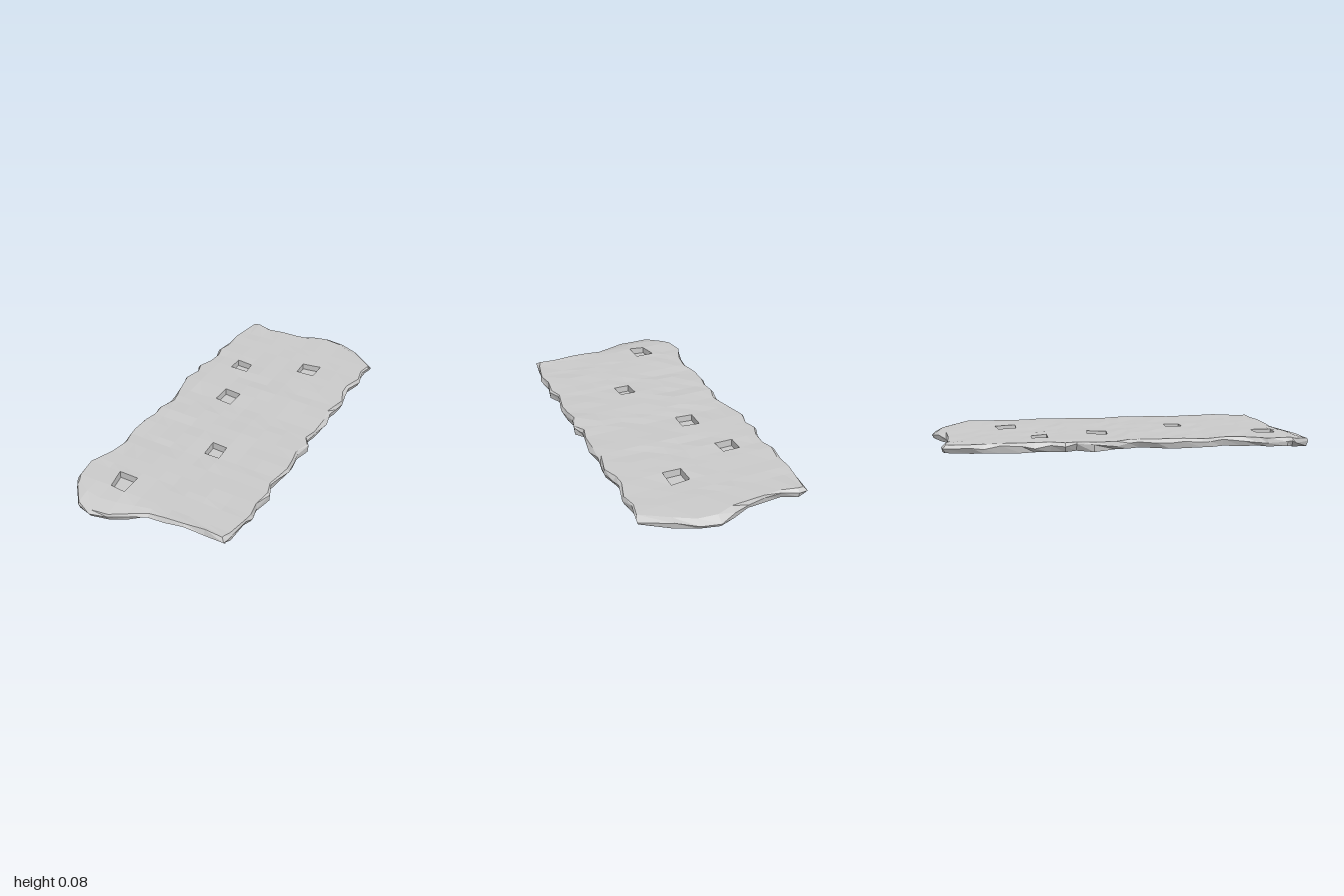
import * as THREE from 'three';

// Piecewise-linear lookup through [key, value] points
const lookup = (pts, k) => {
  if (k <= pts[0][0]) return pts[0][1];
  for (let i = 1; i < pts.length; i++) {
    const [a, va] = pts[i - 1], [b, vb] = pts[i];
    if (k <= b) return va + (vb - va) * (k - a) / (b - a);
  }
  return pts[pts.length - 1][1];
};
// Repeatable value in 0..1 for a grid point
const hash = (i, j, s) => {
  const v = Math.sin(i * 127.1 + j * 311.7 + s * 74.7) * 43758.5453;
  return v - Math.floor(v);
};

// Ragged outline: long sides as x over z, short ends as z over x
const leftX = [[-0.93, -0.39], [-0.83, -0.395], [-0.73, -0.415], [-0.65, -0.405], [-0.57, -0.43], [-0.49, -0.41],
  [-0.4, -0.41], [-0.33, -0.44], [-0.27, -0.41], [-0.18, -0.44], [-0.07, -0.41], [0.05, -0.39], [0.14, -0.415],
  [0.21, -0.405], [0.33, -0.43], [0.49, -0.4], [0.59, -0.42], [0.75, -0.47], [0.83, -0.45], [0.88, -0.42]];
const rightX = [[-0.82, 0.46], [-0.73, 0.44], [-0.64, 0.46], [-0.53, 0.43], [-0.39, 0.46], [-0.28, 0.44], [-0.19, 0.46],
  [0, 0.43], [0.05, 0.46], [0.14, 0.44], [0.28, 0.46], [0.42, 0.43], [0.49, 0.46], [0.59, 0.44], [0.67, 0.46],
  [0.75, 0.435], [0.88, 0.425]];
const frontZ = [[-0.42, 0.88], [-0.36, 0.97], [-0.26, 1], [-0.18, 0.985], [0, 0.9], [0.18, 0.89], [0.29, 0.87], [0.42, 0.885]];
const backZ = [[-0.39, -0.93], [-0.32, -0.94], [-0.24, -0.9], [-0.07, -0.92], [0.1, -1], [0.2, -0.985], [0.3, -0.93], [0.42, -0.87], [0.46, -0.83]];
// Heights along the drooping front end
const frontTop = [[-0.44, 0.066], [-0.34, 0.05], [-0.26, 0.042], [-0.16, 0.047], [0, 0.062], [0.15, 0.076]];
const frontLow = [[-0.44, 0.02], [-0.34, 0.007], [-0.17, 0], [0, 0.03], [0.2, 0.025], [0.3, 0.012], [0.42, 0.025]];

const cols = [null, -0.34, -0.26, -0.165, -0.075, 0.015, 0.105, 0.205, 0.31, null];
const rows = [null, -0.79, -0.73, -0.65, -0.545, -0.48, -0.4, -0.33, -0.27, -0.185, -0.07, 0, 0.05, 0.14, 0.21,
  0.28, 0.375, 0.42, 0.49, 0.59, 0.67, 0.71, 0.82, null, null];
const lastI = rows.length - 1, lastJ = cols.length - 1;

// Each pit fills one grid cell: row, column, then corners back-left, front-left, front-right, back-right
const pits = [
  [3, 6, [[0.1, -0.64], [0.105, -0.545], [0.205, -0.545], [0.205, -0.655]]],
  [5, 2, [[-0.255, -0.485], [-0.255, -0.4], [-0.155, -0.4], [-0.165, -0.48]]],
  [9, 3, [[-0.17, -0.185], [-0.175, -0.08], [-0.08, -0.07], [-0.075, -0.175]]],
  [15, 5, [[0.015, 0.28], [0.02, 0.375], [0.105, 0.375], [0.1, 0.285]]],
  [21, 2, [[-0.275, 0.71], [-0.255, 0.815], [-0.17, 0.825], [-0.17, 0.71]]],
];

// Outline position of a grid point
function plan(i, j) {
  const endX = cols[j] ?? (i === 0 ? (j ? 0.455 : -0.39) : (j ? 0.425 : -0.42));
  let z = rows[i];
  if (i === 0) z = lookup(backZ, endX);
  if (i === lastI) z = lookup(frontZ, endX);
  if (i === lastI - 1) z = (0.82 + lookup(frontZ, endX)) / 2;
  const x = i === 0 || i === lastI ? endX : cols[j] ?? lookup(j ? rightX : leftX, z);
  return [x, z];
}

// layer 0 = top, 1 = outer rim, 2 = underside
function vertex(i, j, layer) {
  let [x, z] = plan(i, j);
  const n = hash(i, j, layer), band = hash(i, 0, layer + 5);
  const px = x;
  if (layer !== 1) {
    const inset = 0.003 + 0.017 * hash(i, j, layer + 9);
    if (j === 0) x += inset;
    if (j === lastJ) x -= inset;
    if (i === 0) z += inset + (layer === 0 && px > 0 ? 0.025 : 0);
    if (i === lastI) z -= inset + (layer === 2 && px > 0 ? 0.03 : 0);
  }
  let top = 0.071 + 0.005 * n + 0.004 * band;
  let low = 0.022 + 0.006 * n + 0.006 * band;
  const droop = i === lastI ? 1 : i === lastI - 1 ? 0.35 : 0;
  top += (lookup(frontTop, px) - top) * droop;
  low += (lookup(frontLow, px) - low) * droop;
  const y = layer === 0 ? top : layer === 2 ? low : low + (top - low) * (0.45 + 0.35 * n);
  return [x, y, z];
}

function stoneMesh(name, quads) {
  const pos = [];
  for (const [a, b, c, d] of quads) pos.push(...a, ...b, ...c, ...a, ...c, ...d);
  const geo = new THREE.BufferGeometry();
  geo.setAttribute('position', new THREE.Float32BufferAttribute(pos, 3));
  geo.computeVertexNormals();
  const mesh = new THREE.Mesh(geo, new THREE.MeshStandardMaterial({ color: 0xcccccc, flatShading: true }));
  mesh.name = name;
  return mesh;
}

export function createModel() {
  const group = new THREE.Group();
  group.name = 'stoneSlab';
  const layers = [0, 1, 2].map(l => rows.map((_, i) => cols.map((_, j) => vertex(i, j, l))));
  const [top, rim, low] = layers;
  const cell = (g, i, j) => [g[i][j], g[i + 1][j], g[i + 1][j + 1], g[i][j + 1]];

  // Fit the top grid to the pit corners
  for (const [i, j, corners] of pits) {
    cell(top, i, j).forEach((v, k) => { [v[0], v[2]] = corners[k]; });
  }

  // Top with openings, and closed underside
  const topQuads = [], lowQuads = [];
  for (let i = 0; i < lastI; i++) {
    for (let j = 0; j < lastJ; j++) {
      if (!pits.some(p => p[0] === i && p[1] === j)) topQuads.push(cell(top, i, j));
      lowQuads.push(cell(low, i, j).reverse());
    }
  }
  group.add(stoneMesh('topSurface', topQuads), stoneMesh('underside', lowQuads));

  // Chipped edge in two bands around the perimeter
  const loop = [];
  for (let i = 0; i < lastI; i++) loop.push([i, 0]);
  for (let j = 0; j < lastJ; j++) loop.push([lastI, j]);
  for (let i = lastI; i > 0; i--) loop.push([i, lastJ]);
  for (let j = lastJ; j > 0; j--) loop.push([0, j]);
  const edge = [];
  loop.forEach(([i, j], k) => {
    const [m, n] = loop[(k + 1) % loop.length];
    for (const [u, d] of [[top, rim], [rim, low]]) edge.push([u[i][j], d[i][j], d[m][n], u[m][n]]);
  });
  group.add(stoneMesh('chippedEdge', edge));

  // Square pits with sunken floors
  for (const [i, j] of pits) {
    const open = cell(top, i, j);
    const floor = open.map(([x, , z]) => [x, 0.038, z]);
    const quads = [floor];
    for (let k = 0; k < 4; k++) {
      const n = (k + 1) % 4;
      quads.push([open[k], open[n], floor[n], floor[k]]);
    }
    group.add(stoneMesh('squarePit', quads));
  }
  return group;
}
